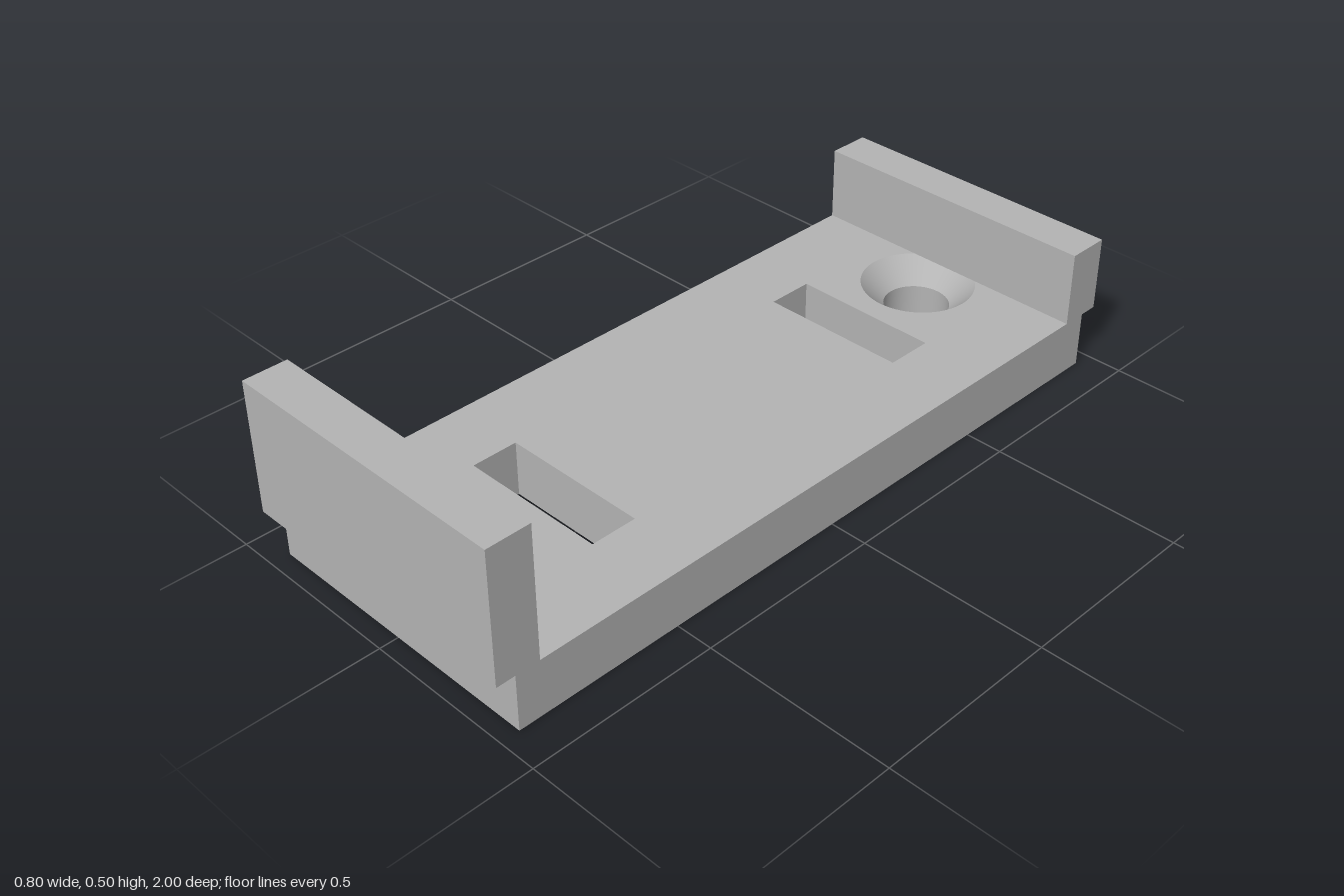
import * as THREE from 'three';
import { mergeGeometries } from 'three/addons/utils/BufferGeometryUtils.js';

const WIDTH = 0.8, LENGTH = 1.9, THICK = 0.15;
const HOLE_Z = 0.775, HOLE_R = 0.087, SINK_R = 0.15, SINK_Y = 0.085;
const SLOT_Z = 0.5, SLOT_W = 0.404, SLOT_D = 0.126;

// Flat face of the base, pierced by two slots and two round holes
function plateFace(radius) {
  const rect = (target, w, d, z) => {
    target.moveTo(-w / 2, z - d / 2);
    target.lineTo(w / 2, z - d / 2);
    target.lineTo(w / 2, z + d / 2);
    target.lineTo(-w / 2, z + d / 2);
    target.closePath();
    return target;
  };
  const shape = rect(new THREE.Shape(), WIDTH, LENGTH, 0);
  for (const s of [-1, 1]) {
    shape.holes.push(rect(new THREE.Path(), SLOT_W, SLOT_D, s * SLOT_Z));
    shape.holes.push(new THREE.Path().absarc(0, s * HOLE_Z, radius, 0, Math.PI * 2, true));
  }
  return new THREE.ShapeGeometry(shape, 32);
}

// Four upright walls around a rectangle, facing outward or inward
function rectWalls(w, d, z, inward) {
  const sides = [];
  for (let i = 0; i < 4; i++) {
    const along = i % 2 ? d : w, out = i % 2 ? w : d;
    const g = new THREE.PlaneGeometry(along, THICK);
    if (inward) g.rotateY(Math.PI);
    g.translate(0, THICK / 2, out / 2).rotateY(i * Math.PI / 2).translate(0, 0, z);
    sides.push(g);
  }
  return mergeGeometries(sides);
}

// Inward-facing ring between two heights, listed top first
function bore(rTop, yTop, rBottom, yBottom, z) {
  const profile = [new THREE.Vector2(rTop, yTop), new THREE.Vector2(rBottom, yBottom)];
  return new THREE.LatheGeometry(profile, 64).translate(0, 0, z);
}

export function createModel() {
  const model = new THREE.Group();
  model.name = 'mountingBracket';
  const grey = new THREE.MeshStandardMaterial({ color: 0xb4b4b4 });
  grey.name = 'grey';

  const add = (name, geometry, parent = model) => {
    const mesh = new THREE.Mesh(geometry, grey);
    mesh.name = name;
    parent.add(mesh);
  };

  // Base plate
  const base = new THREE.Group();
  base.name = 'basePlate';
  model.add(base);
  add('baseTop', plateFace(SINK_R).rotateX(-Math.PI / 2).translate(0, THICK, 0), base);
  add('baseBottom', plateFace(HOLE_R).rotateX(Math.PI / 2), base);
  add('baseSides', rectWalls(WIDTH, LENGTH, 0, false), base);

  // Strap slots and countersunk screw holes at both ends
  for (const [end, s] of [['front', 1], ['back', -1]]) {
    add(end + 'Slot', rectWalls(SLOT_W, SLOT_D, s * SLOT_Z, true), base);
    add(end + 'Countersink', bore(SINK_R, THICK, HOLE_R, SINK_Y, s * HOLE_Z), base);
    add(end + 'ScrewHole', bore(HOLE_R, SINK_Y, HOLE_R, 0, s * HOLE_Z), base);
  }

  // Upright end walls overhanging the base, the front one taller
  for (const [name, s, height] of [['frontWall', 1, 0.35], ['backWall', -1, 0.2]]) {
    add(name, new THREE.BoxGeometry(WIDTH, height, 0.115)
      .translate(0, THICK + height / 2, s * 0.9425));
  }
  return model;
}
